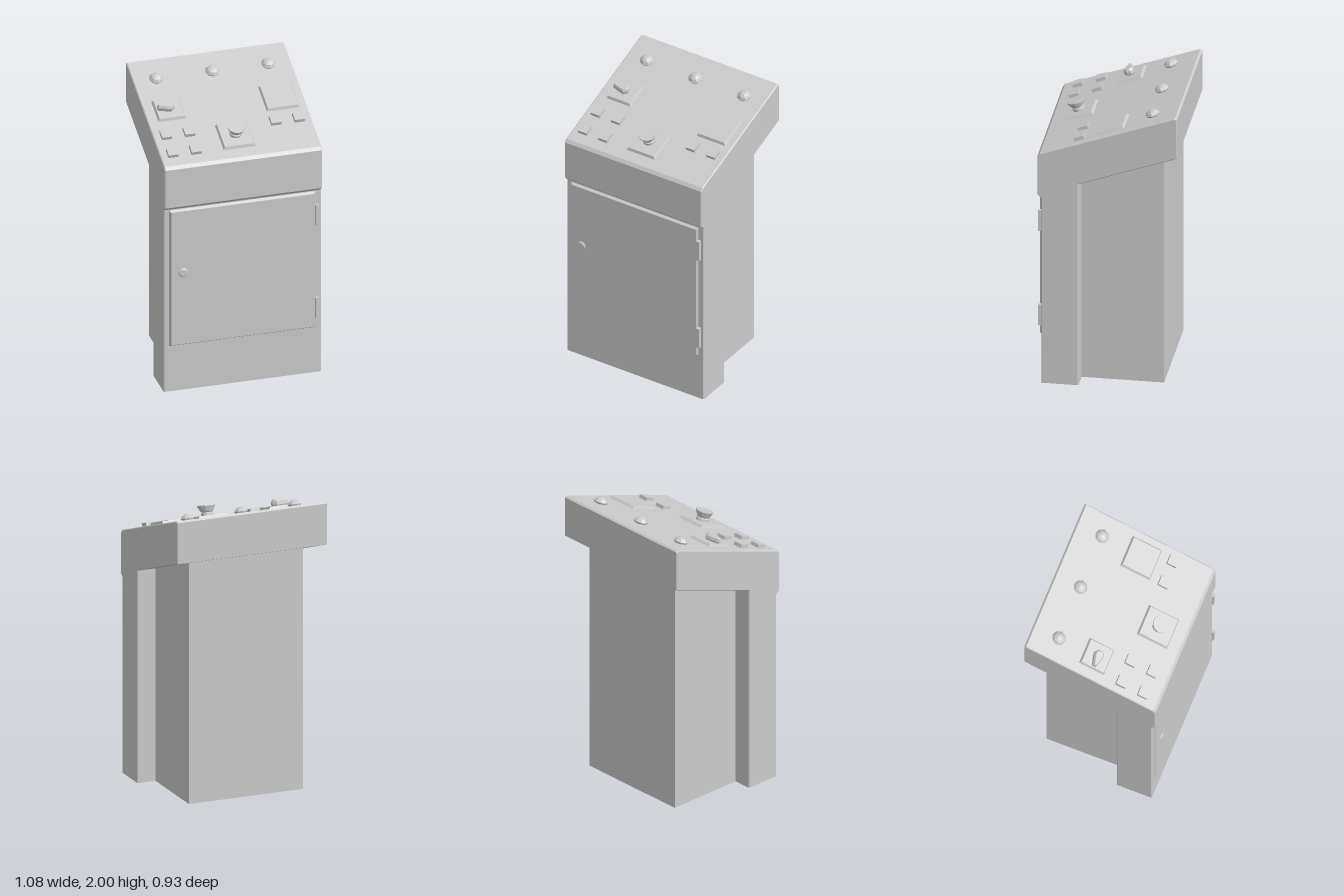
import * as THREE from 'three';

const flat = new THREE.MeshStandardMaterial({ color: 0xcccccc, flatShading: true });
const sheet = new THREE.MeshStandardMaterial({ color: 0xcccccc, flatShading: true, side: THREE.DoubleSide });

function add(parent, name, geometry, x = 0, y = 0, z = 0, material = flat) {
  const mesh = new THREE.Mesh(geometry, material);
  mesh.name = name;
  mesh.position.set(x, y, z);
  parent.add(mesh);
  return mesh;
}

// Box standing on y = 0 whose top is inset on all four sides
function frustum(w, h, d, inset) {
  const g = new THREE.BoxGeometry(w, h, d).translate(0, h / 2, 0);
  const p = g.attributes.position;
  for (let i = 0; i < p.count; i++) {
    if (p.getY(i) < h / 2) continue;
    p.setX(i, p.getX(i) - Math.sign(p.getX(i)) * inset);
    p.setZ(i, p.getZ(i) - Math.sign(p.getZ(i)) * inset);
  }
  g.computeVertexNormals();
  return g;
}

// Side profile of [z, y] points swept across x, keeping only the faces whose normal passes the test
function sweep(profile, width, bevel, keep) {
  const shape = new THREE.Shape(profile.map(([z, y]) => new THREE.Vector2(z, y)));
  const g = new THREE.ExtrudeGeometry(shape, {
    depth: width - 2 * bevel, bevelEnabled: bevel > 0, bevelSegments: 1,
    bevelSize: bevel, bevelThickness: bevel, bevelOffset: -bevel,
  });
  g.translate(0, 0, bevel - width / 2).rotateY(-Math.PI / 2);
  const p = g.attributes.position;
  const kept = [];
  const tri = new THREE.Triangle();
  const n = new THREE.Vector3();
  for (let i = 0; i < p.count; i++) if (p.getY(i) < 0.01) p.setY(i, 0);
  for (let i = 0; i < p.count; i += 3) {
    tri.setFromAttributeAndIndices(p, i, i + 1, i + 2);
    tri.getNormal(n);
    if (keep(n)) for (const v of [tri.a, tri.b, tri.c]) kept.push(v.x, v.y, v.z);
  }
  const out = new THREE.BufferGeometry();
  out.setAttribute('position', new THREE.Float32BufferAttribute(kept, 3));
  out.computeVertexNormals();
  return out;
}

const lathe = (points, sides) =>
  new THREE.LatheGeometry(points.map(([r, y]) => new THREE.Vector2(r, y)), sides);

export function createModel() {
  const model = new THREE.Group();
  model.name = 'controlConsole';

  // Front cabinet and overhanging sloped desk, open underneath
  add(model, 'consoleShell', sweep([
    [0.19, 0], [0.44, 0], [0.44, 1.35], [0.466, 1.375], [0.466, 1.655], [0.45, 1.677],
    [-0.452, 2], [-0.466, 1.99], [-0.466, 1.706], [0.19, 1.47],
  ], 1.08, 0.006, (n) => n.y > -0.99), 0, 0, 0, sheet);

  // Narrower rear housing: two sides and a back
  add(model, 'rearHousing', sweep([
    [0.19, 0], [0.19, 1.47], [-0.36, 1.668], [-0.36, 0],
  ], 0.82, 0, (n) => Math.abs(n.x) > 0.5 || n.z < -0.5), 0, 0, 0, sheet);

  // Door with hinges and lock
  add(model, 'door', frustum(1.006, 0.018, 1.01, 0.012).rotateX(Math.PI / 2), -0.002, 0.84, 0.439);
  for (const y of [0.485, 1.175]) {
    add(model, 'hinge', new THREE.BoxGeometry(0.024, 0.15, 0.028), 0.508, y, 0.452);
  }
  const lock = lathe([[0.032, 0], [0.032, 0.007], [0.025, 0.012], [0, 0.012]], 12).rotateX(Math.PI / 2);
  add(model, 'doorLock', lock, -0.412, 0.88, 0.456);

  // Sloped panel frame: local y is the panel normal, local z runs down the slope
  const tilt = Math.atan2(0.323, 0.902);
  const panel = new THREE.Group();
  panel.name = 'controlPanel';
  panel.position.set(0, 1.838, 0);
  panel.rotation.x = tilt;
  model.add(panel);
  const put = (name, g, x, z, y = 0) => add(panel, name, g, x, y, z / Math.cos(tilt));

  // Indicator lamps along the top
  const lamp = lathe([[0.042, 0], [0.049, 0.012], [0.036, 0.03], [0.018, 0.04], [0, 0.042]], 8);
  for (const x of [-0.384, 0, 0.385]) put('indicatorLamp', lamp, x, -0.284);

  // Raised plates: x, z, width, depth
  for (const [name, x, z, w, d] of [
    ['selectorPlate', -0.376, -0.016, 0.188, 0.186],
    ['displayPlate', 0.376, 0, 0.224, 0.222],
    ['stopButtonPlate', 0, 0.269, 0.22, 0.226],
  ]) put(name, frustum(w, 0.018, d, 0.01), x, z);

  // Square push buttons
  const button = new THREE.BoxGeometry(0.068, 0.024, 0.07).translate(0, 0.012, 0);
  for (const [x, z] of [
    [-0.456, 0.193], [-0.297, 0.193], [-0.456, 0.347], [-0.297, 0.347],
    [0.294, 0.193], [0.454, 0.193],
  ]) put('pushButton', button, x, z);

  // Mushroom stop button
  put('stopButton', lathe([
    [0.042, 0.016], [0.042, 0.034], [0.034, 0.04], [0.042, 0.046], [0.061, 0.082], [0.06, 0.088], [0, 0.088],
  ], 12), 0, 0.267);

  // Rotary selector with a tapered pointer toward -x
  const outline = new THREE.Shape([
    [-0.078, -0.013], [-0.02, -0.03], [0.012, -0.035], [0.034, -0.014],
    [0.034, 0.014], [0.012, 0.035], [-0.02, 0.03], [-0.078, 0.013],
  ].map(([x, z]) => new THREE.Vector2(x, z)));
  const knob = new THREE.ExtrudeGeometry(outline, {
    depth: 0.022, bevelSegments: 1, bevelSize: 0.01, bevelThickness: 0.014, bevelOffset: -0.01,
  });
  put('selectorKnob', knob.rotateX(-Math.PI / 2), -0.377, -0.015, 0.026);

  return model;
}
